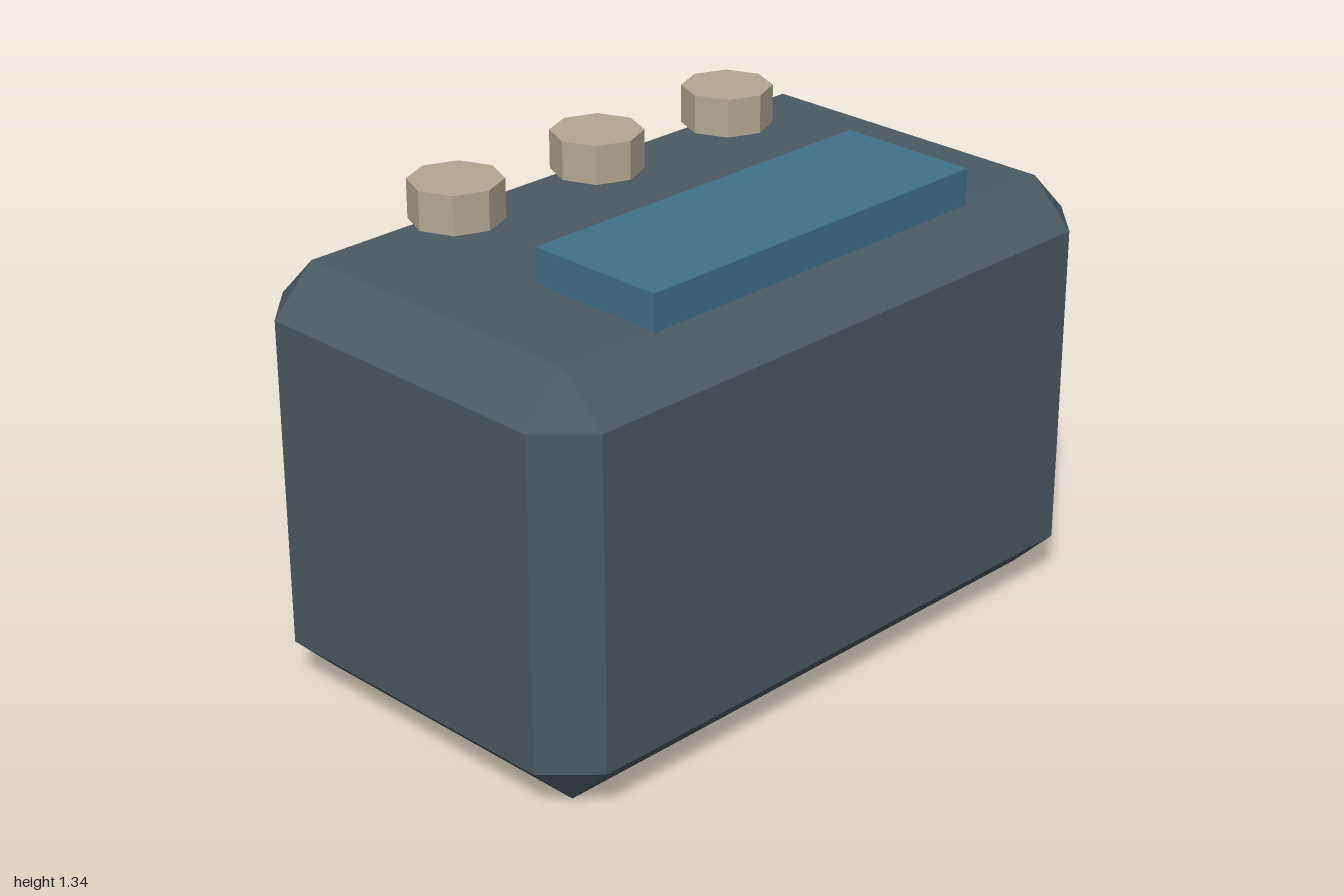
import * as THREE from 'three';
import { ConvexGeometry } from 'three/addons/geometries/ConvexGeometry.js';

const material = (name, color) => {
  const m = new THREE.MeshStandardMaterial({ color, flatShading: true });
  m.name = name;
  return m;
};

// Box with every edge and corner cut at 45 degrees
function chamferedBox(w, h, d, c) {
  const x = w / 2, y = h / 2, z = d / 2, points = [];
  for (const sx of [-1, 1]) for (const sy of [-1, 1]) for (const sz of [-1, 1]) {
    points.push(
      new THREE.Vector3(sx * x, sy * (y - c), sz * (z - c)),
      new THREE.Vector3(sx * (x - c), sy * y, sz * (z - c)),
      new THREE.Vector3(sx * (x - c), sy * (y - c), sz * z)
    );
  }
  return new ConvexGeometry(points);
}

export function createModel() {
  const group = new THREE.Group();
  group.name = 'battery';
  const slate = material('slate casing', 0x4a5b62);
  const teal = material('teal label', 0x3d7187);
  const tan = material('tan caps', 0xb2a992);

  const add = (name, geometry, mat, x, y, z) => {
    const mesh = new THREE.Mesh(geometry, mat);
    mesh.name = name;
    mesh.position.set(x, y, z);
    group.add(mesh);
  };

  // Casing
  add('casing', chamferedBox(2, 1.182, 1.182, 0.127), slate, 0, 0.591, 0);

  // Raised block on the front half of the lid
  add('topBlock', new THREE.BoxGeometry(1.16, 0.104, 0.414), teal, 0, 1.23, 0.26);

  // Row of eight-sided caps hovering just above the lid
  const cap = new THREE.CylinderGeometry(0.127, 0.127, 0.109, 8);
  ['rightCap', 'middleCap', 'leftCap'].forEach((name, i) =>
    add(name, cap, tan, (i - 1) * 0.5, 1.282, -0.331));

  return group;
}
